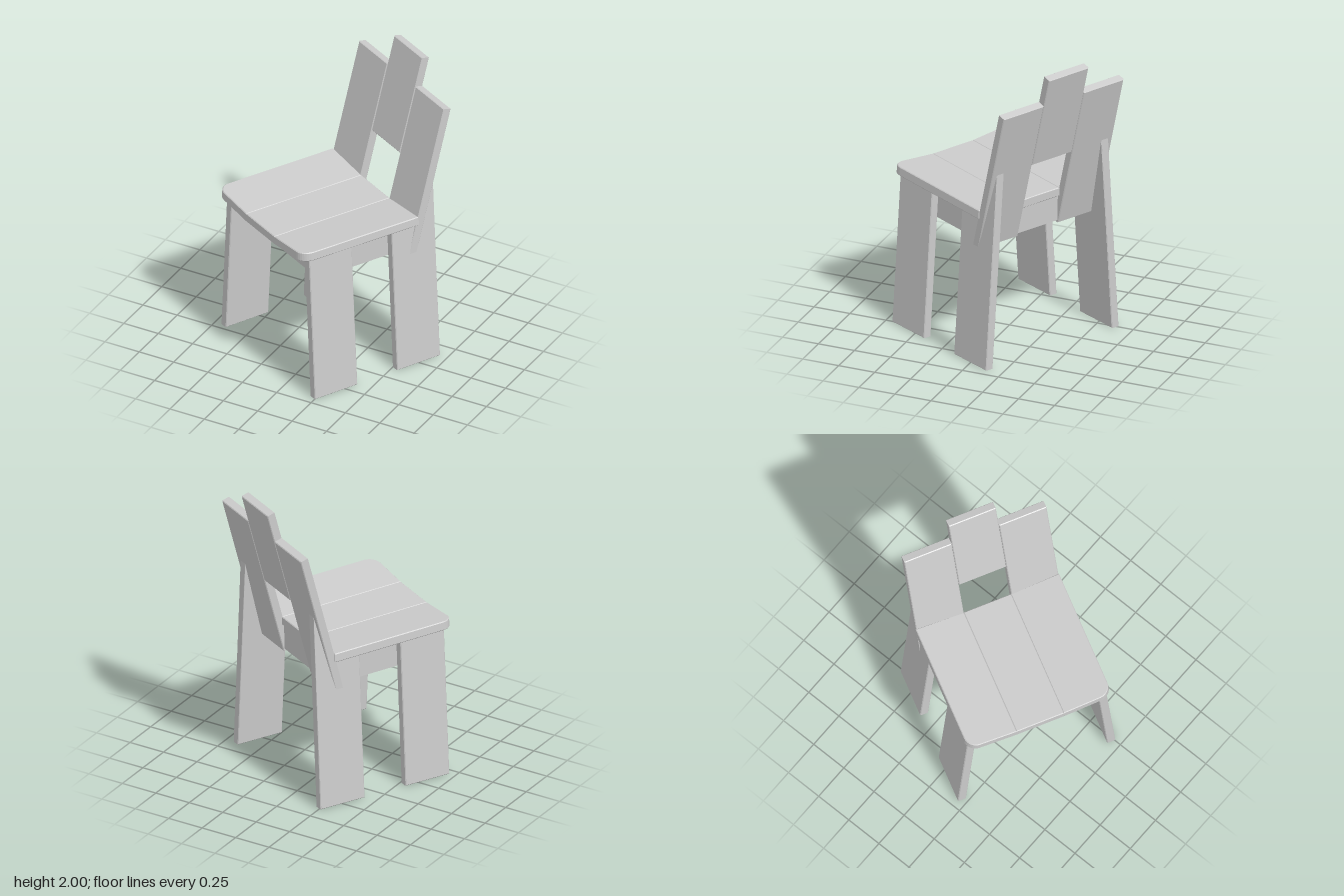
import * as THREE from 'three';

const material = new THREE.MeshStandardMaterial({ color: 0xcccccc });
const BEVEL = 0.005;
const THICK = 0.057;

// Plank cut from an outline, with finely chamfered edges; spans z = 0..depth
function plank(shape, depth) {
  return new THREE.ExtrudeGeometry(shape, {
    depth: depth - 2 * BEVEL, curveSegments: 8,
    bevelThickness: BEVEL, bevelSize: BEVEL, bevelOffset: -BEVEL, bevelSegments: 1,
  }).translate(0, 0, BEVEL);
}

const polygon = (pts) => new THREE.Shape(pts.map(([x, y]) => new THREE.Vector2(x, y)));
const rect = (x0, x1, y0, y1) => polygon([[x0, y0], [x1, y0], [x1, y1], [x0, y1]]);

function add(parent, geometry, name) {
  const mesh = new THREE.Mesh(geometry, material);
  mesh.name = name;
  parent.add(mesh);
  return mesh;
}

// Dished seat of three slabs on a ring of rails, tipped slightly backwards
function buildSeat() {
  const seat = new THREE.Group();
  seat.name = 'seat';
  seat.position.set(0, 1.042, 0.13);
  seat.rotation.x = -0.018;
  const front = 0.437, back = -0.445, half = 0.164, wide = 0.331, r = 0.08;

  add(seat, plank(rect(-half, half, back, front), 0.06).rotateX(Math.PI / 2), 'seatCentreSlab');

  for (const s of [1, -1]) {
    const outline = new THREE.Shape();
    outline.moveTo(-s * 0.003, back);
    outline.lineTo(s * wide, back);
    outline.lineTo(s * wide, front - r);
    outline.bezierCurveTo(s * wide, front - r * 0.45, s * (wide - r * 0.45), front, s * (wide - r), front);
    outline.lineTo(-s * 0.003, front);
    const slab = add(seat, plank(outline, 0.06).rotateX(Math.PI / 2), s > 0 ? 'seatLeftSlab' : 'seatRightSlab');
    slab.position.x = s * half;
    slab.rotation.z = s * 0.09;

    const rail = add(seat, new THREE.BoxGeometry(0.045, 0.2, 0.67), s > 0 ? 'leftRail' : 'rightRail');
    rail.position.set(s * 0.402, -0.13, -0.065);
  }

  add(seat, new THREE.BoxGeometry(0.85, 0.18, 0.045), 'frontRail').position.set(0, -0.14, 0.25);
  add(seat, new THREE.BoxGeometry(0.85, 0.18, 0.05), 'backRail').position.set(0, -0.145, -0.405);
  return seat;
}

// Three boards in one leaning plane, the middle one raised
function buildBackrest() {
  const backrest = new THREE.Group();
  backrest.name = 'backrest';
  backrest.position.set(0, 1.06, -0.315);
  backrest.rotation.x = -0.257;
  const boards = [
    ['backRightBoard', -0.49, -0.164, -0.274, 0.77],
    ['backCentreBoard', -0.162, 0.162, 0.295, 0.972],
    ['backLeftBoard', 0.164, 0.49, -0.274, 0.77],
  ];
  for (const [name, x0, x1, y0, y1] of boards) {
    add(backrest, plank(rect(x0, x1, y0, y1), THICK).translate(0, 0, -THICK), name);
  }
  return backrest;
}

// Plank leg from a side profile of [z, y] points, splayed outwards to the floor
function addLeg(parent, profile, s, name) {
  const geometry = plank(polygon(profile.map(([z, y]) => [-z, y])), THICK)
    .rotateY(Math.PI / 2)
    .translate(s > 0 ? -THICK : 0, 0, 0)
    .applyMatrix4(new THREE.Matrix4().makeShear(0, 0, -s * 0.066, 0, 0, 0));
  add(parent, geometry, name).position.x = s * 0.543;
}

export function createModel() {
  const model = new THREE.Group();
  model.name = 'chair';
  // The chair stands turned on the floor
  model.rotation.y = -THREE.MathUtils.degToRad(27.6);

  const body = new THREE.Group();
  body.name = 'chairBody';
  body.position.x = 0.01;
  model.add(body);
  body.add(buildSeat(), buildBackrest());

  // The rear legs run up behind the backrest to a point
  const frontLeg = [[0.182, 0], [0.507, 0], [0.507, 1.03], [0.182, 1.03]];
  const backLeg = [[-0.449, 0], [-0.121, 0], [-0.121, 1.02], [-0.332, 1.02], [-0.449, 1.45]];
  for (const s of [1, -1]) {
    const side = s > 0 ? 'Left' : 'Right';
    addLeg(body, frontLeg, s, 'front' + side + 'Leg');
    addLeg(body, backLeg, s, 'back' + side + 'Leg');
  }

  const root = new THREE.Group();
  root.add(model);
  return root;
}
